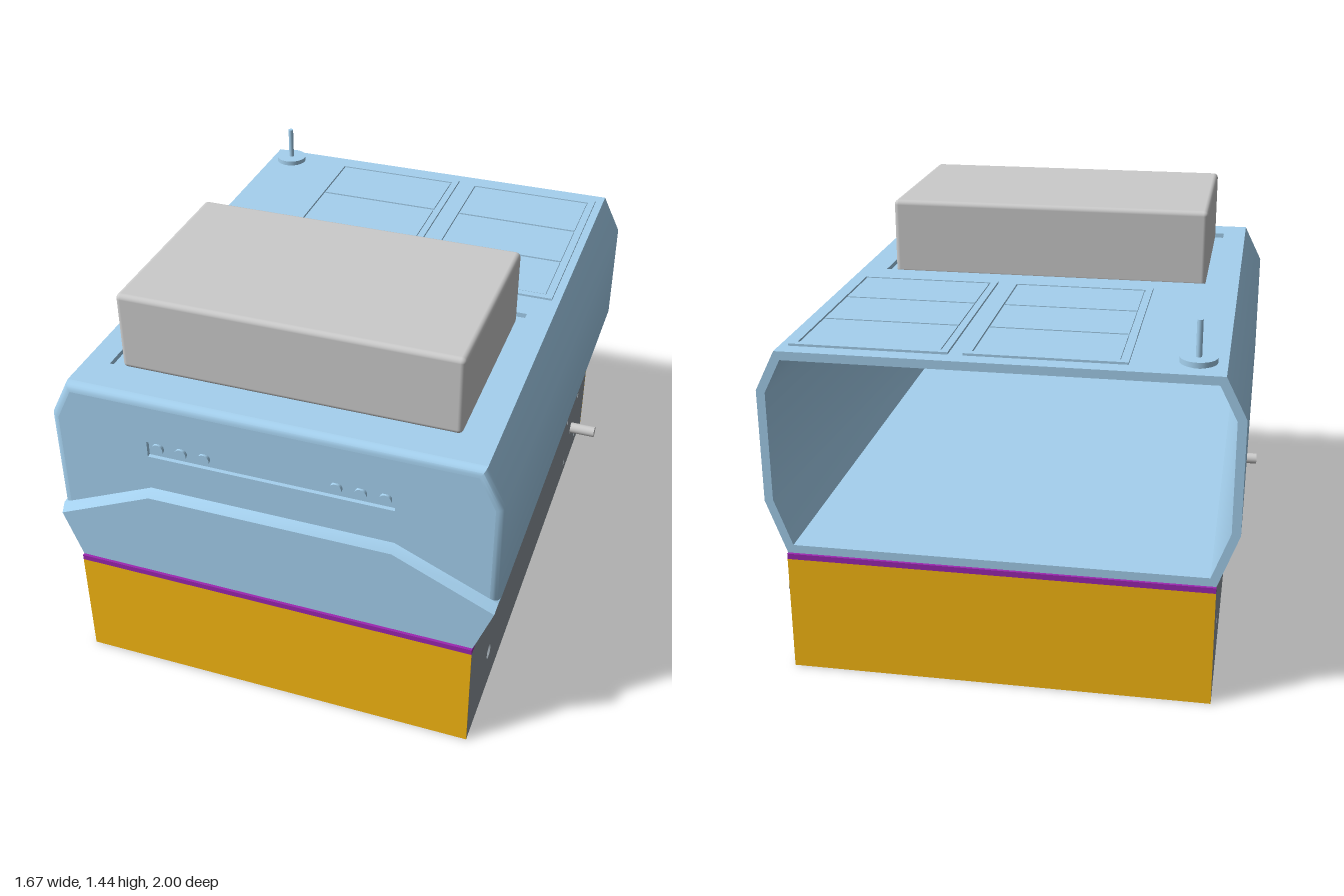
import * as THREE from 'three';
import { toCreasedNormals } from 'three/addons/utils/BufferGeometryUtils.js';
import { RoundedBoxGeometry } from 'three/addons/geometries/RoundedBoxGeometry.js';

const mat = (color) => new THREE.MeshStandardMaterial({ color });
const blue = mat(0xa5d1ef), gray = mat(0xcccccc), steel = mat(0x8d969d);
const orange = mat(0xfaba12), purple = mat(0x9c27b0);

function add(parent, name, geometry, material, x = 0, y = 0, z = 0) {
  const mesh = new THREE.Mesh(geometry, material);
  mesh.name = name;
  mesh.position.set(x, y, z);
  parent.add(mesh);
  return mesh;
}

// Box given by its limits on each axis
function block(parent, name, [x0, x1], [y0, y1], [z0, z1], material) {
  return add(parent, name, new THREE.BoxGeometry(x1 - x0, y1 - y0, z1 - z0), material,
    (x0 + x1) / 2, (y0 + y1) / 2, (z0 + z1) / 2);
}

const polygon = (points) => new THREE.Shape(points.map(([x, y]) => new THREE.Vector2(x, y)));
const rect = (x0, x1, y0, y1) => polygon([[x0, y0], [x1, y0], [x1, y1], [x0, y1]]);
const circle = (x, y, r) => new THREE.Path().absarc(x, y, r, 0, Math.PI * 2);

function plate(shape, holes, depth) {
  shape.holes.push(...holes);
  return new THREE.ExtrudeGeometry(shape, { depth, bevelEnabled: false, curveSegments: 16 });
}

// Lays a plate drawn in (x, -z) flat, thickness pointing up
const flat = (shape, holes, depth) => plate(shape, holes, depth).rotateX(-Math.PI / 2);

// Moves every edge of a counter-clockwise outline inwards by d
function inset(points, d) {
  const n = points.length;
  const normal = (i) => {
    const [a, b] = [points[i % n], points[(i + 1) % n]];
    const l = Math.hypot(b[0] - a[0], b[1] - a[1]);
    return [-(b[1] - a[1]) / l, (b[0] - a[0]) / l];
  };
  return points.map(([x, y], i) => {
    const p = normal(i + n - 1), q = normal(i);
    const k = d / (1 + p[0] * q[0] + p[1] * q[1]);
    return [x + (p[0] + q[0]) * k, y + (p[1] + q[1]) * k];
  });
}

// Skin between successive outlines [points, z]; skip(i, j) leaves a face out
function loft(rings, skip = () => false) {
  const pos = [];
  for (let i = 0; i + 1 < rings.length; i++) {
    const [[p, z0], [q, z1]] = [rings[i], rings[i + 1]];
    for (let j = 0; j < p.length; j++) {
      if (skip(i, j)) continue;
      const k = (j + 1) % p.length;
      const a = [...p[j], z0], b = [...p[k], z0], c = [...q[k], z1], d = [...q[j], z1];
      pos.push(...a, ...b, ...c, ...a, ...c, ...d);
    }
  }
  const geometry = new THREE.BufferGeometry();
  geometry.setAttribute('position', new THREE.Float32BufferAttribute(pos, 3));
  return toCreasedNormals(geometry, 0.6);
}

function createBase() {
  const base = new THREE.Group();
  base.name = 'base';
  block(base, 'baseFloor', [-0.7, 0.7], [0, 0.03], [-0.996, 0.996], steel);
  block(base, 'deckPlate', [-0.73, 0.73], [0.42, 0.44], [-1, 1], purple);

  // Each half is the other turned half way round
  for (const [name, turn] of [['left', 0], ['right', Math.PI]]) {
    const half = new THREE.Group();
    half.name = name + 'BaseHalf';
    half.rotation.y = turn;
    base.add(half);
    const holes = [circle(0.72, 0.165, 0.028), circle(-0.72, 0.165, 0.028)];
    for (const z of [0.605, 0.825]) for (const y of [0.055, 0.27]) holes.push(circle(z, y, 0.012));
    add(half, 'sideWall', plate(rect(-0.996, 0.996, 0, 0.42), holes, 0.03).rotateY(Math.PI / 2),
      steel, 0.7);
    block(half, 'endPanel', [-0.73, 0.73], [0, 0.42], [0.996, 1], orange);
    add(half, 'axle', new THREE.CylinderGeometry(0.023, 0.023, 1.535, 24).rotateZ(Math.PI / 2),
      gray, 0.0675, 0.165, -0.72);
  }
  return base;
}

function createShell() {
  const shell = new THREE.Group();
  shell.name = 'shell';
  const outline = [[-0.73, 0.44], [0.73, 0.44], [0.8, 0.63], [0.8, 1.03],
    [0.73, 1.17], [-0.73, 1.17], [-0.8, 1.03], [-0.8, 0.63]];
  const inner = inset(outline, 0.03);

  // Octagonal tube, open at the back, with a rounded front edge
  const rings = [[inner, 0.93], [inner, -0.99], [outline, -0.99]];
  for (let i = 0; i <= 5; i++) {
    const a = (i / 5) * Math.PI / 2;
    rings.push([inset(outline, 0.03 * (1 - Math.cos(a))), 0.93 + 0.03 * Math.sin(a)]);
  }
  add(shell, 'shellTube', loft(rings, (i, j) => j === 4 && (i === 0 || i === 2)), blue);

  // Roof with a shallow pocket
  add(shell, 'roofLining', flat(rect(-0.725, 0.725, -0.93, 0.99), [], 0.012), blue, 0, 1.14);
  add(shell, 'roof', flat(rect(-0.73, 0.73, -0.93, 0.99),
    [rect(-0.64, 0.635, -0.8, -0.02)], 0.018), blue, 0, 1.152);

  // Front wall with the recessed lamp bar
  add(shell, 'frontWall', plate(polygon(inner), [rect(-0.44, 0.44, 0.935, 0.997)], 0.03),
    blue, 0, 0, 0.93);
  block(shell, 'lampBar', [-0.44, 0.44], [0.935, 0.997], [0.925, 0.945], blue);
  for (const side of [-1, 1]) for (const x of [0.235, 0.32, 0.405]) {
    add(shell, 'lamp', new THREE.CylinderGeometry(0.021, 0.021, 0.015, 24).rotateX(Math.PI / 2),
      blue, side * x, 0.967, 0.95);
  }

  // Raised lower front with a sloping upper edge
  const apron = (yEdge, yTop, x) => [[-0.73, 0.44], [0.73, 0.44], [x, yEdge],
    [0.44, yTop], [-0.44, yTop], [-x, yEdge]];
  const back = apron(0.64, 0.8, 0.8), face = apron(0.615, 0.775, 0.795);
  add(shell, 'frontApron', loft([[back, 0.92], [back, 0.96], [face, 0.99]]), blue);
  add(shell, 'frontApronFace', new THREE.ShapeGeometry(polygon(face)), blue, 0, 0, 0.99);
  return shell;
}

// Roof hatch: a low frame holding three panels
function createHatch(x0) {
  const hatch = new THREE.Group();
  hatch.name = 'hatch';
  hatch.position.set(x0, 1.17, 0);
  add(hatch, 'hatchFrame', flat(rect(0, 0.535, 0.1, 0.93),
    [rect(0.025, 0.51, 0.125, 0.905)], 0.008), blue);
  for (let i = 0; i < 3; i++) {
    const z = -0.9 + i * 0.26;
    block(hatch, 'hatchPanel', [0.03, 0.505], [0, 0.006], [z, z + 0.25], blue);
  }
  return hatch;
}

export function createModel() {
  const model = new THREE.Group();
  model.name = 'model';
  model.add(createBase(), createShell(), createHatch(-0.42), createHatch(0.165));

  // Roof unit standing in the pocket
  add(model, 'roofUnit', new RoundedBoxGeometry(1.21, 0.29, 0.73, 4, 0.018), gray, 0, 1.293, 0.413);

  // Antenna
  add(model, 'antennaFoot', new THREE.CylinderGeometry(0.061, 0.061, 0.018, 40), blue, -0.637, 1.188, -0.89);
  add(model, 'antennaNeck', new THREE.CylinderGeometry(0.04, 0.04, 0.02, 32), blue, -0.637, 1.175, -0.89);
  add(model, 'antennaRod', new THREE.CylinderGeometry(0.01, 0.01, 0.13, 16), blue, -0.637, 1.255, -0.89);
  return model;
}
